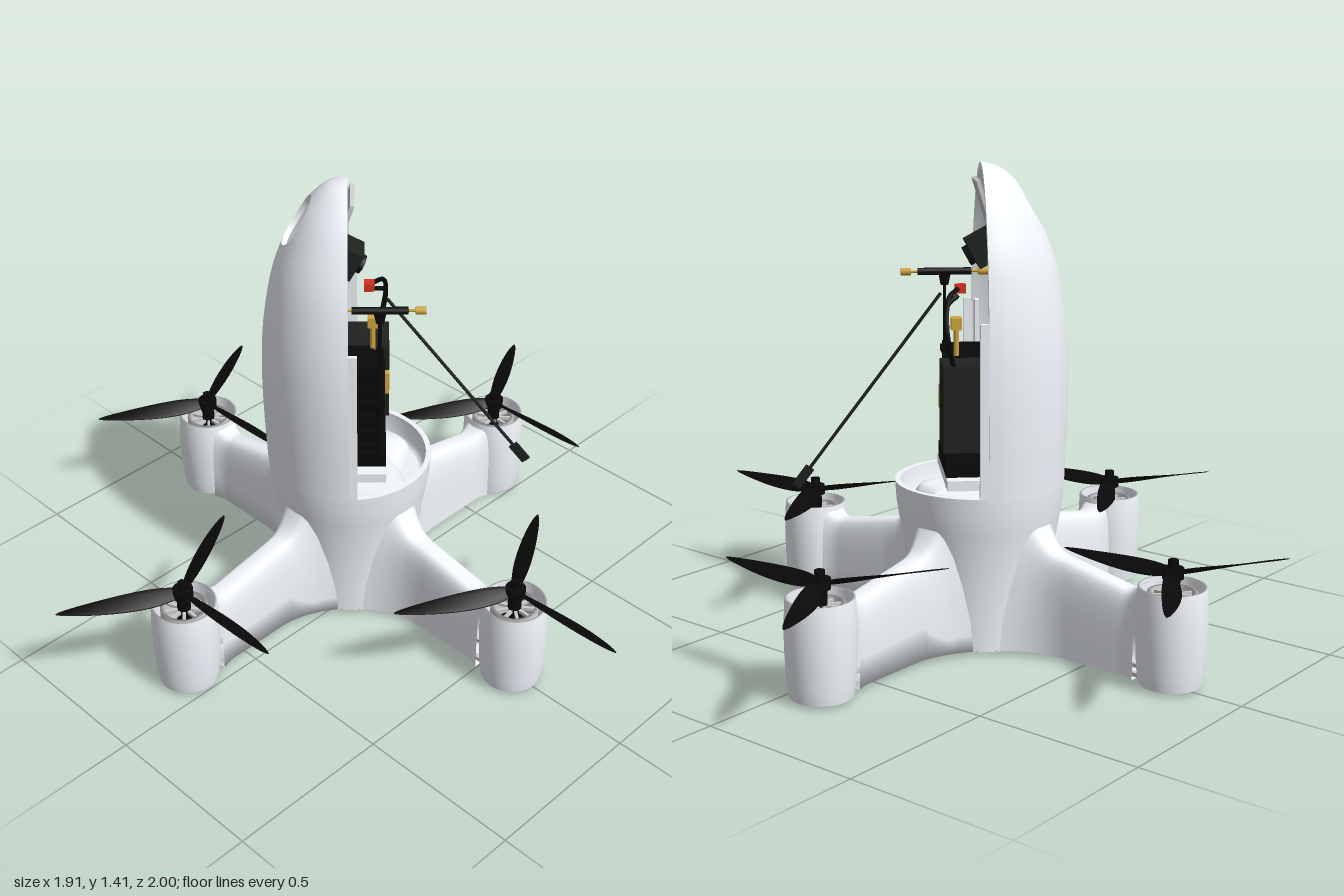
import * as THREE from 'three';

const V = (x, y, z) => new THREE.Vector3(x, y, z);
const mat = color => new THREE.MeshStandardMaterial({ color, side: THREE.DoubleSide });
const SHELL = mat(0xf3f7fc), GREY = mat(0xcccccc), BLACK = mat(0x090909), DARK = mat(0x1f2220), GOLD = mat(0xd2a63c), RED = mat(0xd8321e);

function add(parent, name, geo, m = SHELL, x = 0, y = 0, z = 0) {
  const mesh = new THREE.Mesh(geo, m);
  mesh.name = name;
  mesh.position.set(x, y, z);
  parent.add(mesh);
  return mesh;
}
const box = (w, h, d) => new THREE.BoxGeometry(w, h, d);
const cyl = (r, h, n = 20, r2 = r) => new THREE.CylinderGeometry(r2, r, h, n);
const lathe = (pts, n = 48) => new THREE.LatheGeometry(pts.map(p => new THREE.Vector2(...p)), n);
const tube = (pts, r, n = 24) => new THREE.TubeGeometry(new THREE.CatmullRomCurve3(pts), n, r, 8);

// Skin a list of equal-length rows of points
function loft(rows) {
  const pos = [], idx = [], n = rows[0].length;
  rows.forEach(row => row.forEach(p => pos.push(p.x, p.y, p.z)));
  for (let i = 0; i < rows.length - 1; i++) for (let j = 0; j < n - 1; j++) {
    const a = i * n + j, b = a + n;
    idx.push(a, a + 1, b, a + 1, b + 1, b);
  }
  const g = new THREE.BufferGeometry();
  g.setAttribute('position', new THREE.Float32BufferAttribute(pos, 3));
  g.setIndex(idx);
  g.computeVertexNormals();
  return g;
}
const range = (n, f) => Array.from({ length: n + 1 }, (_, i) => f(i / n, i));

// Upper half shell, opening towards local +x, with an oval window at the back
const profile = new THREE.CatmullRomCurve3([[.25, .47], [.257, .65], [.258, .8], [.249, .95], [.224, 1.1],
  [.192, 1.2], [.143, 1.3], [.097, 1.36], [.053, 1.395], [0, 1.41]].map(p => V(p[0], p[1], 0)), false, 'catmullrom');
function surf(u, v, off) {
  const p = profile.getPoint(v), r = Math.max(p.x - off, 0);
  return V(-Math.cos(u) * r, p.y - off * v, Math.sin(u) * r);
}
function addShell(g) {
  const H = Math.PI / 2, u1 = H * 6 / 18, vLo = 20 / 36, vHi = 28 / 36, vc = 24 / 36;
  const patch = (a, b, c, d, off, nu, nv) => loft(range(nv, t => range(nu, s => surf(a + (b - a) * s, c + (d - c) * t, off))));
  const oval = (t, off) => surf(Math.cos(t) * .43, vc + Math.sin(t) * 3.6 / 36, off);
  for (const [name, off] of [['outerShell', 0], ['innerShell', .014]]) {
    add(g, name, patch(-H, H, 0, vLo, off, 36, 20));
    add(g, name, patch(-H, H, vHi, 1, off, 36, 10));
    add(g, name, patch(-H, -u1, vLo, vHi, off, 12, 8));
    add(g, name, patch(u1, H, vLo, vHi, off, 12, 8));
    add(g, name + 'WindowSurround', loft(range(4, k => range(64, s => {
      const t = s * Math.PI * 2, c = Math.cos(t), q = Math.sin(t), m = Math.max(Math.abs(c), Math.abs(q));
      const su = c / m * u1, sv = vc + q / m * 4 / 36;
      return surf(su + (c * .43 - su) * k, sv + (vc + q * 3.6 / 36 - sv) * k, off);
    }))));
  }
  add(g, 'windowRim', loft([0, .014].map(off => range(48, s => oval(s * Math.PI * 2, off)))));
  for (const s of [-1, 1]) {
    add(g, 'shellEdge', loft([0, .014].map(off => range(36, v => surf(s * H, v, off)))));
    add(g, 'shellFlange', box(.025, .5, .014), SHELL, .012, .73, s * .243);
    add(g, 'shellInnerRail', box(.012, .5, .04), SHELL, -.012, .73, s * .217);
  }
}

// Electronics bay, in the shell's frame
function addBay(g) {
  add(g, 'trayBase', box(.16, .03, .34), SHELL, .03, .5, 0);
  add(g, 'tray', box(.14, .05, .26), BLACK, .04, .54, 0);
  add(g, 'battery', box(.13, .25, .14), DARK, .055, .72, -.09);
  add(g, 'stackCore', box(.1, .29, .1), BLACK, .03, .72, .08);
  add(g, 'stackBridge', box(.09, .26, .05), BLACK, .03, .72, .005);
  for (let i = 0; i < 6; i++) add(g, 'stackBoard', box(.13, .016, .125), BLACK, .04, .595 + i * .051, .08);
  for (const z of [.03, .13]) add(g, 'stackPost', cyl(.01, .3, 8), BLACK, .09, .72, z);
  add(g, 'connector', box(.04, .07, .02), GOLD, .1, .73, -.005);
  add(g, 'connector', box(.03, .035, .04), GOLD, .07, .945, -.01);
  add(g, 'connectorLead', cyl(.008, .1, 8), GOLD, .07, .88, -.01);
  // Camera on a slanted bracket under the nose
  const panel = add(g, 'noseBracket', box(.012, .19, .14), GREY, -.015, 1.27, 0);
  panel.rotation.z = -.3;
  const cam = new THREE.Group();
  cam.name = 'camera';
  cam.position.set(-.01, 1.165, 0);
  cam.rotation.z = -.5;
  add(cam, 'cameraBody', box(.08, .09, .09), DARK);
  add(cam, 'cameraLens', cyl(.035, .05), BLACK, -.06).rotation.z = Math.PI / 2;
  add(cam, 'cameraBack', cyl(.03, .02, 8), BLACK, .047).rotation.z = Math.PI / 2;
  g.add(cam);
  add(g, 'plug', box(.03, .025, .03), RED, .06, 1.05, -.03);
  for (const d of [0, .02])
    add(g, 'powerLead', tube([V(.07, 1.05 - d, -.045), V(.1, 1.03 - d, -.1 + d), V(.11, .95, -.165 + d), V(.09, .84, -.15 + d)], .007), BLACK);
  // T-shaped antenna
  add(g, 'antennaMast', cyl(.005, .42, 8), BLACK, .09, .86, .15);
  add(g, 'antennaHub', cyl(.012, .04, 10, .02), BLACK, .09, 1.055, .15);
  add(g, 'antennaBar', cyl(.011, .16, 10), BLACK, .09, 1.075, .15).rotation.z = Math.PI / 2;
  for (const s of [-1, 1]) {
    add(g, 'antennaStem', cyl(.004, .04, 6), GOLD, .09 + s * .09, 1.075, .15).rotation.z = Math.PI / 2;
    add(g, 'antennaTip', cyl(.011, .03, 8), GOLD, .09 + s * .115, 1.075, .15).rotation.z = Math.PI / 2;
  }
}

// Hollow arm running along local +x, filleted where it meets the body
function armGeometry() {
  return loft(range(40, t => {
    const s = .1 + t * .494;
    const flare = Math.pow(Math.max(0, (.35 - s) / .25), 2), neck = Math.max(0, (s - .54) / .054);
    const w = .05 + .13 * flare + .012 * neck * neck;
    const root = Math.max(0, (.31 - s) / .08);
    const h = Math.min(.44, .255 + .2 * Math.max(0, .55 - s) + .07 * root * root + .026 * neck * neck);
    const round = .5 + .5 * Math.min(1, root);
    return range(28, a => {
      const c = Math.cos(a * Math.PI), q = Math.max(0, Math.sin(a * Math.PI));
      return V(s, .012 + (h - .012) * Math.pow(q, round), w * Math.sign(c) * Math.pow(Math.abs(c), .5));
    }).concat([V(s, .012, w)]);
  }));
}

// Twisted, tapered blade along local +x
function bladeGeometry() {
  return loft(range(24, t => {
    const s = .012 + t * .354;
    const chord = (.026 + .036 * Math.sin(Math.PI * Math.pow(t, .7)) * (1 - .2 * t)) * Math.sqrt(Math.max(.02, 1 - Math.pow(t, 8)));
    const twist = .65 - .5 * t, th = .007 * (1 - .75 * t);
    return range(12, a => {
      const c = Math.cos(a * Math.PI * 2) * chord / 2 - .004 * Math.sin(Math.PI * t), q = Math.sin(a * Math.PI * 2) * th / 2;
      return V(s, c * Math.sin(twist) + q, c * Math.cos(twist) - q * Math.sin(twist));
    });
  }));
}

// Pod floor with four openings
function podFloorGeometry() {
  const shape = new THREE.Shape().absarc(0, 0, .089, 0, Math.PI * 2);
  for (let i = 0; i < 4; i++) {
    const a = i * Math.PI / 2 + .2, b = a + Math.PI / 2 - .4, hole = new THREE.Path();
    hole.absarc(0, 0, .072, a, b, false);
    hole.absarc(0, 0, .035, b, a, true);
    hole.closePath();
    shape.holes.push(hole);
  }
  return new THREE.ExtrudeGeometry(shape, { depth: .012, bevelEnabled: false, curveSegments: 24 }).rotateX(-Math.PI / 2);
}

export function createModel() {
  const model = new THREE.Group();
  model.name = 'quadcopter';
  const craft = new THREE.Group();
  craft.name = 'airframe';
  craft.position.set(-.09, 0, .005);
  model.add(craft);

  // Lower body with an open collar
  add(craft, 'lowerBody', lathe([[.207, .01], [.209, .1], [.215, .2], [.226, .3], [.238, .37], [.246, .42], [.25, .48]], 64));
  add(craft, 'collarRim', lathe([[.25, .48], [.234, .48]], 64));
  add(craft, 'collarInside', lathe([[.234, .48], [.23, .42], [.215, .4], [0, .4]], 64));

  const hull = new THREE.Group();
  hull.name = 'hull';
  hull.rotation.y = Math.PI / 4;
  addShell(hull);
  addBay(hull);
  craft.add(hull);

  // Trailing whip antenna with a flat end sleeve
  const a = V(.09, 1.03, -.07), b = V(.4, .46, -.365);
  add(craft, 'whipAntenna', tube([a, b], .005, 2), DARK);
  const k = b.clone().lerp(a, .05);
  const sleeve = add(craft, 'whipSleeve', box(.008, .028, .07), DARK, k.x, k.y, k.z);
  sleeve.quaternion.setFromRotationMatrix(new THREE.Matrix4().lookAt(a, b, V(0, 1, 0)));

  // Bottom lattice
  add(craft, 'latticeRing', lathe([[.207, .01], [.207, .026], [.188, .026], [.188, .01], [.207, .01]], 48), GREY);
  add(craft, 'latticeHub', cyl(.04, .014, 24), GREY, 0, .018);
  for (let i = 0; i < 4; i++) add(craft, 'latticeSpoke', box(.39, .014, .014), GREY, 0, .018).rotation.y = i * Math.PI / 4 + Math.PI / 8;
  add(craft, 'bottomPlug', box(.035, .012, .03), BLACK, .045, .006, 0);

  // Four arms with pods, motors and propellers
  const arm = armGeometry(), blade = bladeGeometry(), floor = podFloorGeometry();
  const pod = lathe([[.089, .01], [.095, .05], [.099, .13], [.1, .2], [.096, .288], [.089, .288], [.089, .02]]);
  const bell = lathe([[.07, .19], [.07, .272], [.058, .272], [.058, .19]], 36);
  for (let i = 0; i < 4; i++) {
    const wing = new THREE.Group();
    wing.name = 'armAssembly';
    wing.rotation.y = i * Math.PI / 2;
    craft.add(wing);
    add(wing, 'arm', arm);
    for (const s of [-1, 1]) add(wing, 'armRail', box(.59, .014, .014), GREY, .32, .0165, s * .03);

    const unit = new THREE.Group();
    unit.name = 'motorUnit';
    unit.position.x = .68;
    unit.rotation.y = -i * Math.PI / 2;
    wing.add(unit);
    add(unit, 'pod', pod);
    add(unit, 'podFloor', floor, SHELL, 0, .01);
    add(unit, 'motorBase', cyl(.088, .01, 32), DARK, 0, .19);
    add(unit, 'motorBell', bell, GREY);
    for (let j = 0; j < 9; j++) {
      const spoke = add(unit, 'motorSpoke', box(.05, .01, .009).translate(.036, 0, 0), GREY, 0, .262);
      spoke.rotation.y = j * Math.PI * 2 / 9;
    }
    add(unit, 'motorShaft', cyl(.02, .1), BLACK, 0, .26);
    add(unit, 'propellerHub', cyl(.03, .03, 24), BLACK, 0, .326);
    add(unit, 'propellerNut', cyl(.015, .06, 6), BLACK, 0, .334);
    for (let j = 0; j < 3; j++) add(unit, 'propellerBlade', blade, BLACK, 0, .326).rotation.y = j * Math.PI * 2 / 3;
  }
  return model;
}
